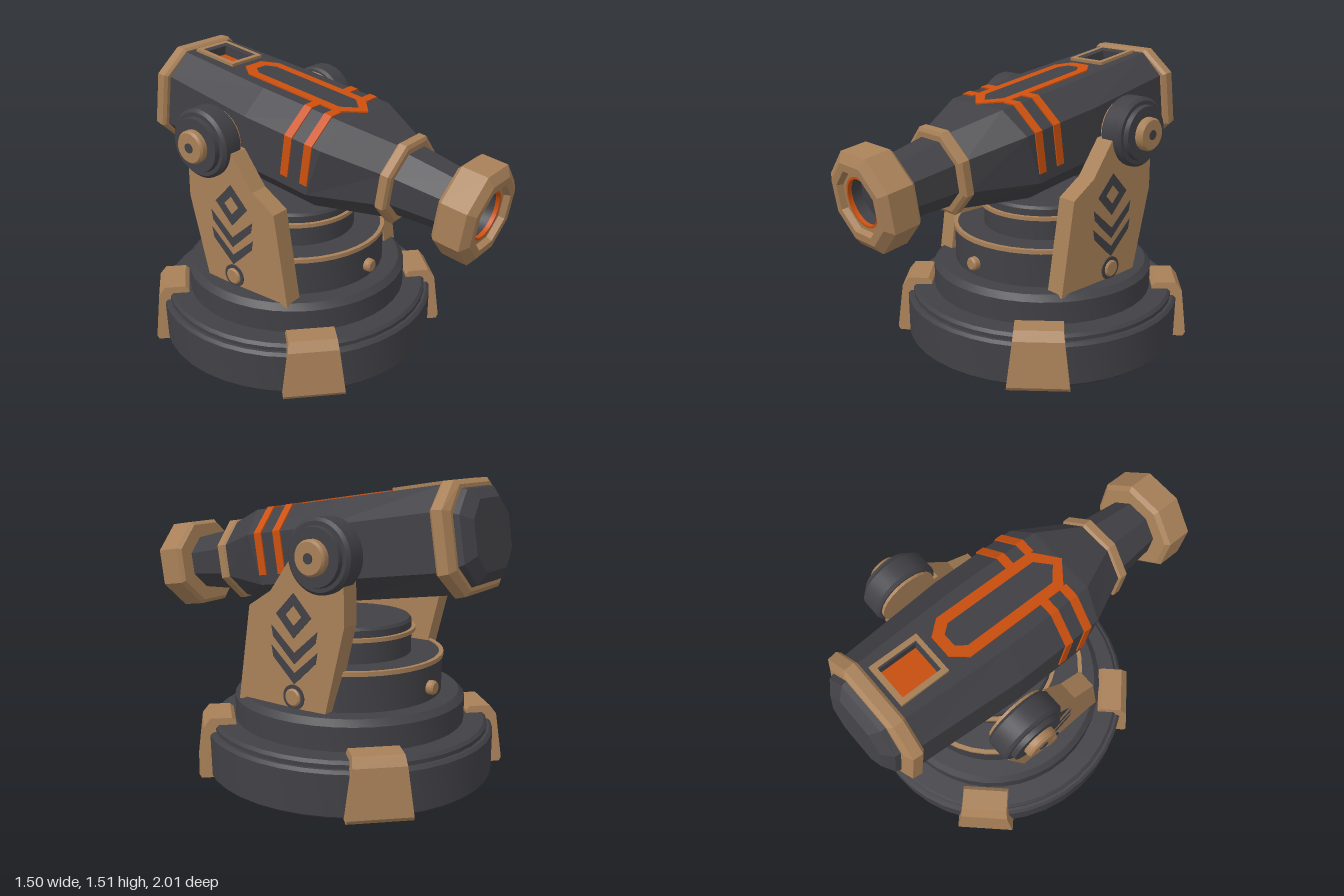
import * as THREE from 'three';
import { toCreasedNormals } from 'three/addons/utils/BufferGeometryUtils.js';

export function createModel() {
  const mat = (name, color) => {
    const m = new THREE.MeshStandardMaterial({ color });
    m.name = name;
    return m;
  };
  const dark = mat('dark iron', 0x414045);
  const gold = mat('bronze', 0xa88058);
  const orange = mat('orange glow', 0xcc500e);

  const model = new THREE.Group();
  model.name = 'turretCannon';
  const group = (name, parent) => {
    const g = new THREE.Group();
    g.name = name;
    parent.add(g);
    return g;
  };
  const add = (parent, name, geo, material) => {
    const m = new THREE.Mesh(geo, material);
    m.name = name;
    parent.add(m);
    return m;
  };
  const lathe = (pts, seg = 40) =>
    toCreasedNormals(new THREE.LatheGeometry(pts.map(p => new THREE.Vector2(...p)), seg), 0.5);
  const shape = (pts, ...holes) => {
    const s = new THREE.Shape(pts.map(p => new THREE.Vector2(...p)));
    holes.forEach(h => s.holes.push(new THREE.Path(h.map(p => new THREE.Vector2(...p)))));
    return s;
  };
  const extrude = (s, depth) => new THREE.ExtrudeGeometry(s, { depth, bevelEnabled: false });

  // Round stepped base
  const base = group('base', model);
  base.position.z = -0.2;
  add(base, 'pedestal', lathe([[0, 0], [0.74, 0], [0.75, 0.01], [0.75, 0.215], [0.735, 0.23], [0.72, 0.23],
    [0.72, 0.25], [0.705, 0.265], [0.6, 0.265], [0.6, 0.385], [0.57, 0.415], [0.48, 0.415],
    [0.48, 0.61], [0.32, 0.61], [0.32, 0.775], [0.31, 0.79], [0, 0.79]]), dark);
  add(base, 'deckTrim', lathe([[0.475, 0.595], [0.487, 0.595], [0.487, 0.617], [0.465, 0.617], [0.465, 0.6]]), gold);
  add(base, 'turntableTrim', lathe([[0.315, 0.72], [0.34, 0.72], [0.34, 0.74], [0.315, 0.74]]), gold);
  for (const side of [1, -1]) {
    const bolt = lathe([[0, 0.45], [0.036, 0.45], [0.036, 0.505], [0.028, 0.515], [0, 0.515]], 16);
    bolt.rotateX(side * Math.PI / 2).translate(0, 0.485, 0);
    add(base, 'deckBolt', bolt, gold);
  }

  // Four clamped feet, narrowing toward the top
  for (let i = 0; i < 4; i++) {
    const g = extrude(shape([[0.7, 0], [0.785, 0], [0.797, 0.02], [0.77, 0.255], [0.735, 0.3],
      [0.625, 0.3], [0.605, 0.28], [0.605, 0.255], [0.7, 0.255]]), 1).translate(0, 0, -0.5);
    const p = g.attributes.position;
    for (let k = 0; k < p.count; k++) p.setZ(k, p.getZ(k) * 2 * (0.158 - 0.12 * p.getY(k)));
    g.computeVertexNormals();
    add(base, 'foot', g, gold).rotation.y = Math.PI / 4 + i * Math.PI / 2;
  }

  // Side supports: outlines are in (z, y), extruded between x0 and x1
  const PY = 1.168, PZ = -0.38;
  const plateBetween = (s, x0, x1, side) =>
    extrude(s, x1 - x0).rotateY(-Math.PI / 2).translate(side > 0 ? x1 : -x0, 0, 0);
  const chevron = y => shape([[-0.08, y], [-0.218, y - 0.12], [-0.355, y],
    [-0.345, y - 0.055], [-0.218, y - 0.175], [-0.09, y - 0.055]]);
  const diamond = (w, h) => [[-0.215 + w, 0.87], [-0.215, 0.87 + h], [-0.215 - w, 0.87], [-0.215, 0.87 - h]];
  for (const side of [1, -1]) {
    const arm = group(side > 0 ? 'leftSupport' : 'rightSupport', model);
    add(arm, 'supportPlate', plateBetween(shape([[0.135, 0.4], [0.06, 0.89], [-0.075, 0.975], [-0.2, 1.147],
      [-0.38, 1.17], [-0.5, 1.1], [-0.505, 0.85], [-0.4, 0.42]]), 0.39, 0.49, side), gold);
    const disc = new THREE.Shape().absarc(PZ, PY, 0.155, 0, Math.PI * 2);
    add(arm, 'pivotBacking', plateBetween(disc, 0.39, 0.415, side), gold);
    add(arm, 'diamondInlay', plateBetween(shape(diamond(0.105, 0.11), diamond(0.048, 0.05)), 0.488, 0.493, side), dark);
    for (const y of [0.81, 0.71]) add(arm, 'chevronInlay', plateBetween(chevron(y), 0.488, 0.493, side), dark);
    const round = (name, pts, y, z, material) =>
      add(arm, name, lathe(pts, 32).rotateZ(-side * Math.PI / 2).translate(0, y, z), material);
    round('boltCollar', [[0, 0.48], [0.062, 0.48], [0.062, 0.496], [0, 0.496]], 0.47, -0.215, dark);
    round('plateBolt', [[0, 0.48], [0.044, 0.48], [0.044, 0.502], [0.036, 0.508], [0, 0.508]], 0.47, -0.215, gold);
    round('pivotHub', [[0, 0.405], [0.165, 0.405], [0.178, 0.42], [0.178, 0.515], [0.163, 0.53],
      [0.143, 0.53], [0.138, 0.555], [0, 0.555]], PY, PZ, dark);
    round('pivotCap', [[0, 0.55], [0.085, 0.55], [0.085, 0.583], [0.075, 0.595], [0, 0.595]], PY, PZ, gold);
    round('pivotPin', [[0, 0.59], [0.025, 0.59], [0.025, 0.599], [0, 0.599]], PY, PZ, dark);
  }

  // Barrel group: local z runs forward along the bore
  const barrel = group('barrel', model);
  barrel.position.set(0, PY, PZ);
  barrel.rotation.x = 0.157;

  // Eight-sided section: half width a, top half width t, half height h, chamfer height c
  const sec = (s, a, t, h, c, shear = 0) =>
    [[a, -c], [a, c], [t, h], [-t, h], [-a, c], [-a, -c], [-t, -h], [t, -h]]
      .map(([x, y]) => [x, y, s + shear * y]);
  const oct = (s, r) => sec(s, r, r * 0.414, r, r * 0.414);
  // Skin over sections ordered front to rear
  const loft = (secs, { front = true, rear = true, skip = () => false } = {}) => {
    const v = [];
    for (let k = 0; k < secs.length - 1; k++) {
      for (let i = 0; i < 8; i++) {
        if (skip(k, i)) continue;
        const j = (i + 1) % 8, f = secs[k], r = secs[k + 1];
        v.push(...f[i], ...r[i], ...r[j], ...f[i], ...r[j], ...f[j]);
      }
    }
    const first = secs[0], last = secs[secs.length - 1];
    for (let i = 1; i < 7; i++) {
      if (front) v.push(...first[0], ...first[i], ...first[i + 1]);
      if (rear) v.push(...last[0], ...last[i + 1], ...last[i]);
    }
    const g = new THREE.BufferGeometry();
    g.setAttribute('position', new THREE.Float32BufferAttribute(v, 3));
    g.computeVertexNormals();
    return g;
  };

  // Main body with an open top panel for the recessed window
  add(barrel, 'body', loft([oct(0.87, 0.195), sec(0.555, 0.32, 0.19, 0.25, 0.13, 0.2),
    sec(0.1, 0.32, 0.19, 0.25, 0.13), sec(-0.48, 0.275, 0.165, 0.25, 0.135)],
  { skip: (k, i) => k > 0 && i === 2 }), dark);
  const TOP = 0.25;
  const rect = (x, s0, s1) => [[-x, -s0], [x, -s0], [x, -s1], [-x, -s1]];
  const onTop = (s, depth) =>
    (depth ? extrude(s, depth) : new THREE.ShapeGeometry(s)).rotateX(-Math.PI / 2).translate(0, TOP, 0);
  add(barrel, 'topPanel', onTop(shape([[-0.19, -0.605], [0.19, -0.605], [0.19, -0.1], [0.165, 0.48],
    [-0.165, 0.48], [-0.19, -0.1]], rect(0.085, -0.414, -0.206))), dark);

  // Recessed window: frame, walls and glowing floor
  add(barrel, 'windowFrame', onTop(shape(rect(0.115, -0.442, -0.18), rect(0.088, -0.416, -0.204)), 0.016), gold);
  const box = (name, w, h, d, x, y, z, m) => add(barrel, name, new THREE.BoxGeometry(w, h, d).translate(x, y, z), m);
  for (const side of [1, -1]) {
    box('windowSideWall', 0.01, 0.06, 0.22, side * 0.09, TOP - 0.031, -0.31, dark);
    box('windowEndWall', 0.18, 0.06, 0.01, 0, TOP - 0.031, -0.31 + side * 0.109, dark);
  }
  box('windowFloor', 0.18, 0.01, 0.22, 0, TOP - 0.056, -0.31, orange);

  // Orange outline on top and stripes folding down both sides
  const outline = (x, back, cut, shoulder, tip) => [[-x * 0.5, -back], [x * 0.5, -back], [x, -cut],
    [x, -shoulder], [0, -tip], [-x, -shoulder], [-x, -cut]];
  add(barrel, 'topOutline', onTop(shape(outline(0.122, -0.136, -0.06, 0.51, 0.612),
    outline(0.07, -0.082, -0.035, 0.487, 0.553)), 0.007), orange);
  for (const side of [1, -1]) {
    for (const s of [0.365, 0.487]) {
      const stripe = shape([[0.115, 0.249], [0.19, 0.249], [0.319, 0.13], [0.319, -0.08],
        [0.327, -0.08], [0.327, 0.134], [0.193, 0.257], [0.115, 0.257]].map(([x, y]) => [x * side, y]));
      add(barrel, 'sideStripe', extrude(stripe, 0.045).translate(0, 0, s), orange);
    }
  }

  // Rear band and end cap
  add(barrel, 'rearBand', loft([sec(-0.465, 0.295, 0.165, 0.255, 0.14), sec(-0.48, 0.31, 0.172, 0.265, 0.145),
    sec(-0.53, 0.305, 0.17, 0.26, 0.14), sec(-0.548, 0.26, 0.15, 0.24, 0.13)]), gold);
  add(barrel, 'rearCap', loft([sec(-0.54, 0.245, 0.14, 0.225, 0.12), sec(-0.575, 0.235, 0.135, 0.215, 0.11),
    sec(-0.615, 0.18, 0.1, 0.165, 0.08)]), dark);

  // Neck, neck band and muzzle
  add(barrel, 'neck', loft([oct(1.2, 0.14), oct(0.86, 0.172)]), dark);
  add(barrel, 'neckBand', loft([oct(0.912, 0.195), oct(0.902, 0.213), oct(0.862, 0.213), oct(0.85, 0.2)]), gold);
  add(barrel, 'muzzle', loft([oct(1.33, 0.14), oct(1.365, 0.152), oct(1.365, 0.19), oct(1.335, 0.235),
    oct(1.2, 0.235), oct(1.18, 0.215)], { front: false }), gold);
  const bore = (name, pts, m) => add(barrel, name, lathe(pts, 32).rotateX(Math.PI / 2), m);
  bore('muzzleFace', [[0.16, 1.335], [0.125, 1.335]], gold);
  bore('boreGlow', [[0.126, 1.336], [0.115, 1.336], [0.115, 1.315]], orange);
  bore('boreLiner', [[0.115, 1.315], [0.115, 1.26], [0, 1.26]], dark);
  return model;
}
